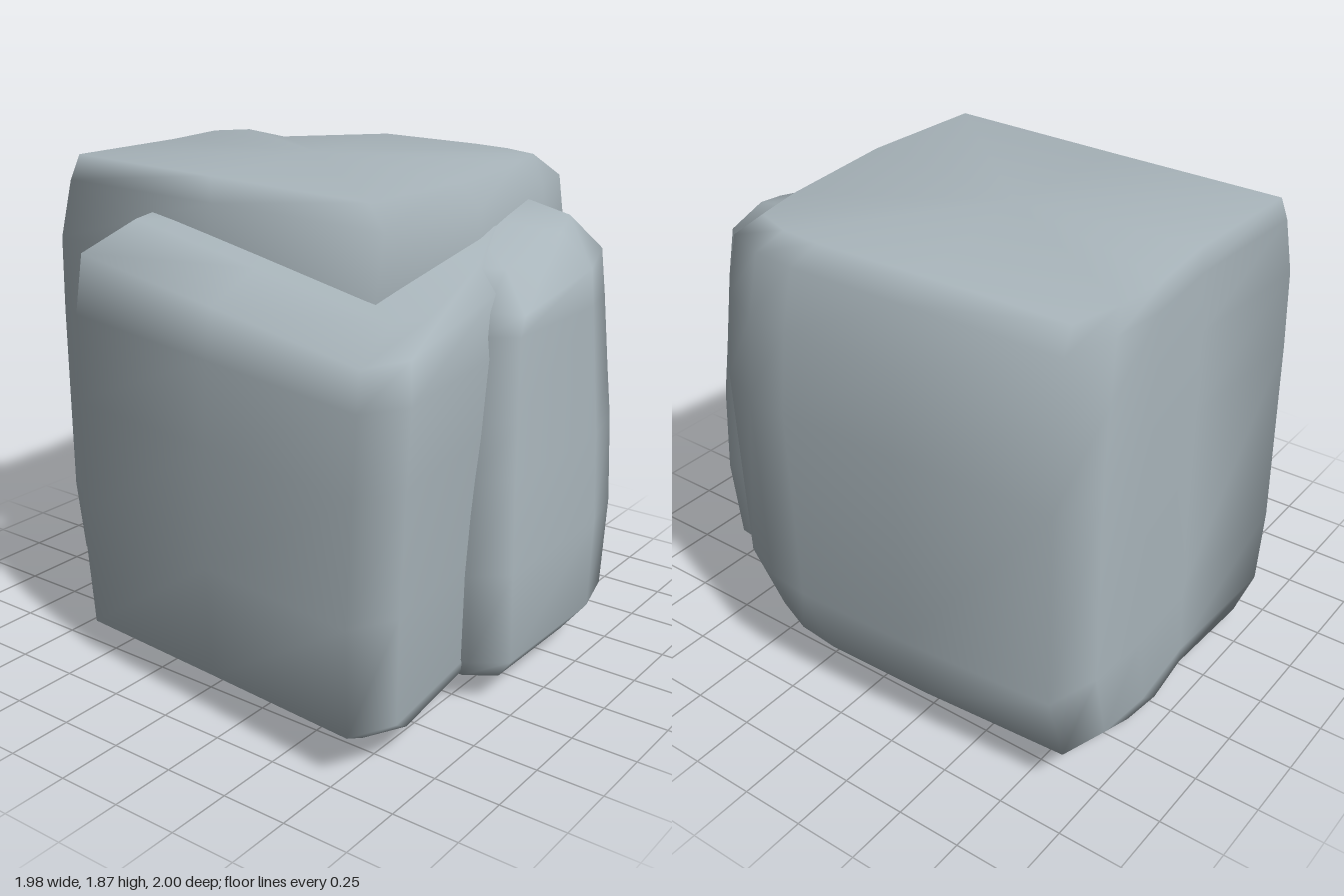
import * as THREE from 'three';

// Closed smooth boulder: a plan outline (clockwise from above) fitted to each level.
// Level: [y, xMin, xMax, zMin, zMax, tiltX, tiltZ]. Cut: [normal, limit] pushes corners in.
function boulder(name, outline, levels, material, cuts = []) {
  const n = outline.length;
  const xs = outline.map(p => p[0]), zs = outline.map(p => p[1]);
  const x0 = Math.min(...xs), x1 = Math.max(...xs);
  const z0 = Math.min(...zs), z1 = Math.max(...zs);
  const pos = [], index = [];
  for (const [y, a, b, c, d, tx = 0, tz = 0] of levels) {
    for (const [px, pz] of outline) {
      const x = a + (b - a) * (px - x0) / (x1 - x0);
      const z = c + (d - c) * (pz - z0) / (z1 - z0);
      const p = new THREE.Vector3(x, y + tx * x + tz * z, z);
      for (const [normal, limit] of cuts) {
        p.addScaledVector(normal, -Math.max(0, p.dot(normal) - limit));
      }
      pos.push(p.x, p.y, p.z);
    }
  }
  // Side walls
  for (let k = 0; k < levels.length - 1; k++) {
    for (let i = 0; i < n; i++) {
      const p = k * n + i, q = k * n + (i + 1) % n;
      index.push(p, p + n, q, q, p + n, q + n);
    }
  }
  // Rounded caps
  const cap = (level, rise, top) => {
    const [y, a, b, c, d, tx = 0, tz = 0] = levels[level];
    const x = (a + b) / 2, z = (c + d) / 2, centre = pos.length / 3;
    pos.push(x, y + tx * x + tz * z + rise, z);
    for (let i = 0; i < n; i++) {
      const p = level * n + i, q = level * n + (i + 1) % n;
      if (top) index.push(p, centre, q);
      else index.push(p, q, centre);
    }
  };
  cap(0, -0.015, false);
  cap(levels.length - 1, 0.012, true);

  const geometry = new THREE.BufferGeometry();
  geometry.setAttribute('position', new THREE.Float32BufferAttribute(pos, 3));
  geometry.setIndex(index);
  geometry.computeVertexNormals();
  const mesh = new THREE.Mesh(geometry, material);
  mesh.name = name;
  return mesh;
}

export function createModel() {
  const stone = new THREE.MeshStandardMaterial({ color: 0xa9b5bb });
  stone.name = 'grey stone';
  const rock = new THREE.Group();
  rock.name = 'rock';

  // Tall block at the back, with its far upper corner worn down
  rock.add(boulder('mainBoulder', [
    [-0.98, 0.48], [-0.96, -0.15], [-0.99, -0.5], [-0.97, -0.75], [-0.91, -0.95],
    [-0.3, -0.99], [0.18, -1], [0.36, -0.98], [0.53, -0.91], [0.58, -0.66],
    [0.64, -0.05], [0.61, 0.57], [-0.2, 0.52],
  ], [
    [0.06, -0.94, 0.45, -0.6, 0.42],
    [0.2, -0.985, 0.55, -0.9, 0.52],
    [0.5, -0.99, 0.6, -1, 0.56],
    [1.25, -0.98, 0.64, -0.99, 0.57],
    [1.55, -0.97, 0.64, -0.95, 0.57],
    [1.77, -0.96, 0.63, -0.9, 0.51],
    [1.855, -0.95, 0.53, -0.84, 0.46, -0.01],
  ], stone, [[new THREE.Vector3(-0.55, 0.62, -0.56).normalize(), 2.0]]));

  // Lower block leaning out at the front, its top sloping up to the tall block
  rock.add(boulder('frontBoulder', [
    [-0.51, 0.45], [-0.4, -0.4], [0, -0.5], [0.7, -0.4], [0.84, 0.12],
    [0.92, 0.83], [0.83, 1], [0.15, 0.92], [-0.55, 0.84],
  ], [
    [0.03, -0.4, 0.7, -0.35, 0.45, 0.07],
    [0.075, -0.46, 0.84, -0.42, 0.83, 0.045],
    [0.16, -0.53, 0.88, -0.47, 0.97, 0.035],
    [0.6, -0.545, 0.9, -0.5, 1],
    [1.05, -0.54, 0.92, -0.5, 1],
    [1.36, -0.53, 0.925, -0.48, 0.985, -0.04],
    [1.63, -0.52, 0.9, -0.4, 0.94, -0.1, -0.1],
    [1.735, -0.49, 0.8, -0.25, 0.64, -0.13, -0.2],
  ], stone));

  // Narrow lobe on the model's left flank, merging into the front block
  rock.add(boulder('sideBoulder', [
    [0.15, 0.3], [0.15, -0.45], [0.58, -0.65], [0.93, -0.6],
    [0.985, -0.37], [0.98, 0.24], [0.86, 0.34],
  ], [
    [0.09, 0.15, 0.9, -0.52, 0.24],
    [0.2, 0.15, 0.985, -0.61, 0.32],
    [0.55, 0.15, 0.985, -0.65, 0.34],
    [0.9, 0.15, 0.97, -0.64, 0.32],
    [1.1, 0.15, 0.96, -0.61, 0.3],
    [1.4, 0.15, 0.945, -0.57, 0.27],
    [1.68, 0.15, 0.94, -0.53, 0.23, -0.2, -0.16],
    [1.745, 0.15, 0.82, -0.47, 0.15, -0.16, -0.18],
  ], stone));

  return rock;
}
